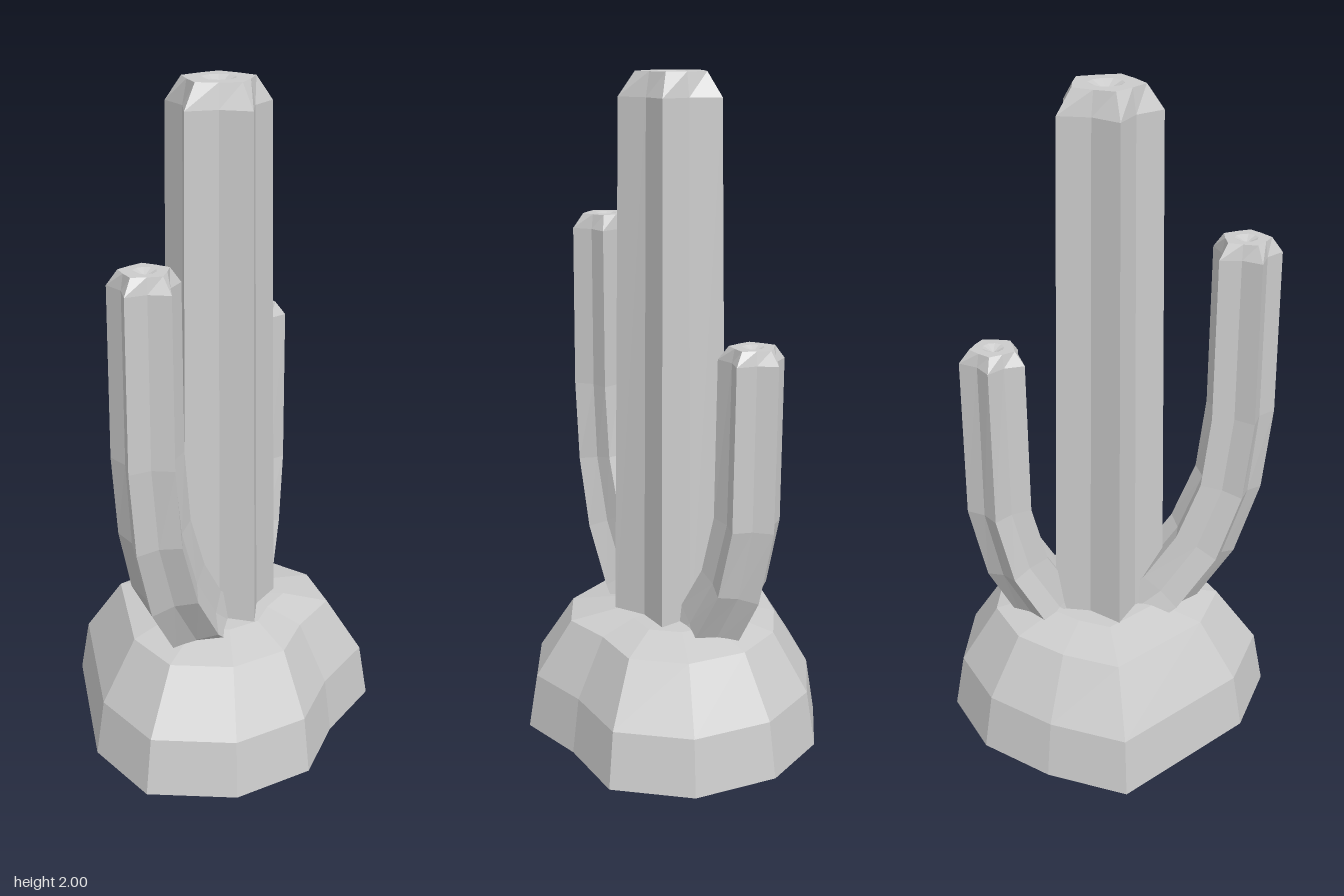
import * as THREE from 'three';

const material = new THREE.MeshStandardMaterial({ color: 0xcccccc, flatShading: true });
const V = (x, y, z) => new THREE.Vector3(x, y, z);

// Skins a stack of rings that all have the same number of points
function loft(name, rings) {
  const n = rings[0].length;
  const index = [];
  for (let i = 0; i < rings.length - 1; i++) {
    for (let j = 0; j < n; j++) {
      const a = i * n + j, b = i * n + (j + 1) % n;
      index.push(a, a + n, b, b, a + n, b + n);
    }
  }
  const geometry = new THREE.BufferGeometry().setFromPoints(rings.flat());
  geometry.setIndex(index);
  geometry.computeVertexNormals();
  const mesh = new THREE.Mesh(geometry, material);
  mesh.name = name;
  return mesh;
}

// Five-ribbed ring, square to the given direction
function starRing(centre, direction, tip, valley, phase) {
  const turn = new THREE.Quaternion().setFromUnitVectors(V(0, 1, 0), direction);
  return Array.from({ length: 10 }, (_, j) => {
    const a = phase + j * Math.PI / 5;
    const r = j % 2 ? valley : tip;
    return V(r * Math.cos(a), 0, r * Math.sin(a)).applyQuaternion(turn).add(centre);
  });
}

// Ribbed stem along a path of [x, y, z, tip radius, valley radius], with a bevelled, dimpled top
function stem(name, path, phaseDegrees, bevel) {
  const phase = THREE.MathUtils.degToRad(phaseDegrees);
  const points = path.map(([x, y, z]) => V(x, y, z));
  const last = points.length - 1;
  const up = V(0, 1, 0);
  const rings = path.map(([, , , tip, valley], i) => {
    const direction = i === last ? up
      : points[i + 1].clone().sub(points[Math.max(i - 1, 0)]).normalize();
    return starRing(points[i], direction, tip, valley, phase);
  });
  const tip = path[last][3];
  const cap = [[bevel, 0.69, 0.58], [bevel, 0.32, 0.32], [bevel - tip * 0.15, 0, 0]];
  for (const [rise, t, v] of cap) {
    const centre = points[last].clone().add(V(0, rise, 0));
    rings.push(starRing(centre, up, tip * t, tip * v, phase));
  }
  return loft(name, rings);
}

export function createModel() {
  const group = new THREE.Group();
  group.name = 'cactus';

  // Faceted mound: one uneven outline shrunk level by level
  const outline = [
    [0.48, 0], [0.40, 0.24], [0.17, 0.33], [-0.02, 0.455], [-0.27, 0.43], [-0.475, 0.26],
    [-0.485, 0], [-0.272, -0.445], [-0.02, -0.455], [0.215, -0.405], [0.40, -0.247],
  ];
  const levels = [[0, 0], [0, 1], [0.17, 0.94], [0.35, 0.7], [0.385, 0.4], [0.39, 0]];
  group.add(loft('mound', levels.map(([y, s]) => outline.map(([x, z]) => V(x * s, y, z * s)))));

  // Trunk
  group.add(stem('trunk', [
    [-0.02, 0.3, 0, 0.182, 0.122],
    [-0.02, 1.93, 0, 0.157, 0.104],
  ], 90, 0.07));

  // Arms
  group.add(stem('rightArm', [
    [-0.06, 0.3, 0.03, 0.12, 0.085],
    [-0.19, 0.42, 0.08, 0.12, 0.085],
    [-0.29, 0.58, 0.125, 0.118, 0.082],
    [-0.355, 0.78, 0.155, 0.11, 0.075],
    [-0.38, 1.02, 0.165, 0.108, 0.07],
    [-0.38, 1.515, 0.165, 0.105, 0.068],
  ], 10, 0.045));
  group.add(stem('leftArm', [
    [0.03, 0.28, -0.03, 0.11, 0.08],
    [0.13, 0.38, -0.1, 0.11, 0.08],
    [0.205, 0.54, -0.155, 0.105, 0.075],
    [0.245, 0.74, -0.185, 0.102, 0.07],
    [0.25, 1.22, -0.19, 0.1, 0.066],
  ], 37, 0.04));

  return group;
}
